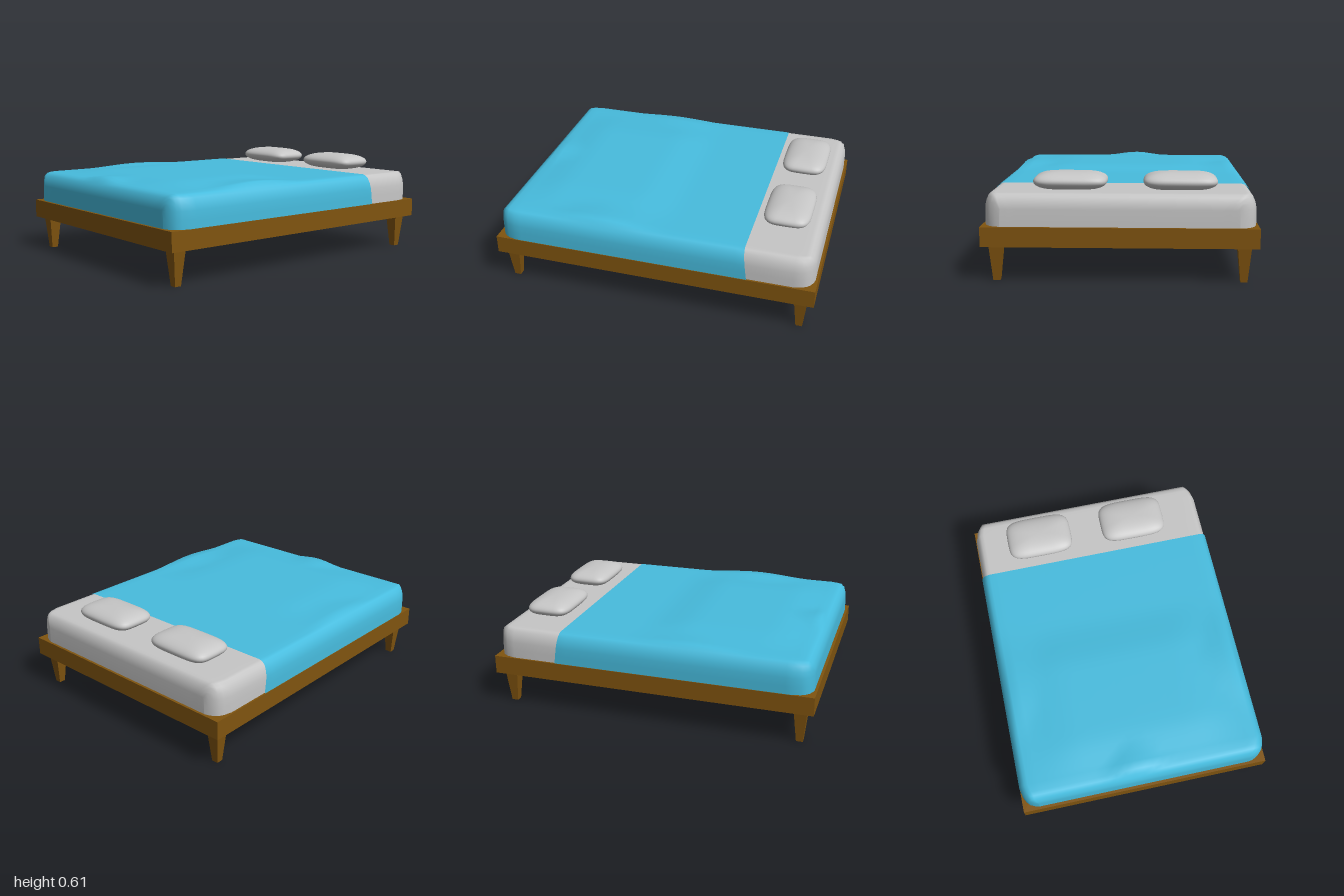
import * as THREE from 'three';
import { mergeVertices } from 'three/addons/utils/BufferGeometryUtils.js';

const mat = (name, color) => Object.assign(new THREE.MeshStandardMaterial({ color }), { name });
const BASE = 0.318;

// Loft cross-sections along z: each section is {z, w, h, slant} for the profile of a soft slab
function softSlab(sections, W, topY) {
  const side = [[0, BASE], [0, 0.37], [0.001, 0.42], [0.008, 0.455], [0.022, 0.487], [0.04, 0.503]];
  const profile = side.map(([i, y]) => [-(W - i), y]);
  const steps = 24, edge = W - 0.062;
  for (let k = 0; k <= steps; k++) profile.push([-edge + (2 * edge * k) / steps, null]);
  for (const [i, y] of [...side].reverse()) profile.push([W - i, y]);

  const pos = [], idx = [], n = profile.length;
  for (const { z, w, h, slant = 0 } of sections) {
    for (const [px, py] of profile) {
      const x = (px * w) / W;
      const y = Math.min(py === null ? topY(x, z) : py, h);
      pos.push(x, y, z - (slant * (0.51 - y)) / 0.19);
    }
  }
  for (let s = 0; s < sections.length - 1; s++) {
    for (let k = 0; k < n - 1; k++) {
      const a = s * n + k, b = a + 1, c = a + n, d = c + 1;
      idx.push(a, c, b, b, c, d);
    }
  }
  const g = new THREE.BufferGeometry();
  g.setAttribute('position', new THREE.Float32BufferAttribute(pos, 3));
  g.setIndex(idx);
  g.computeVertexNormals();
  return g;
}

// Rounded end: inset from the end, width loss, height limit
const END = [[0, 0.1, BASE], [0, 0.1, 0.42], [0.006, 0.075, 0.455], [0.02, 0.045, 0.487],
  [0.04, 0.026, 0.503], [0.065, 0.012, 1], [0.115, 0, 1]];
const endSections = (zEnd, dir, W) => END.map(([d, loss, h]) => ({ z: zEnd - dir * d, w: W - loss, h }));

const bump = (x, z, cx, cz, rx, rz) => {
  const r = Math.hypot((x - cx) / rx, (z - cz) / rz);
  return r < 1 ? 0.5 + 0.5 * Math.cos(Math.PI * r) : 0;
};

// Gentle folds of the blanket
function blanketTop(x, z) {
  const s = THREE.MathUtils.smoothstep;
  const swell = s(z, -0.12, 0.2) * (1 - s(z, 0.65, 0.95)) * (1 - s(Math.abs(x), 0.35, 0.74));
  const folds = Math.max(bump(x, z, 0.75, 0.33, 0.5, 0.42), 0.7 * bump(x, z, -0.75, 0.25, 0.5, 0.42),
    bump(x, z, -0.05, 0.93, 0.24, 0.5));
  return 0.51 + 0.024 * Math.max(swell, folds);
}

// Flattened sphere with a squarish outline
function pillowGeometry() {
  let g = new THREE.SphereGeometry(1, 40, 20);
  g.deleteAttribute('uv');
  g.deleteAttribute('normal');
  g = mergeVertices(g, 1e-4);
  const p = g.attributes.position;
  const pw = (v, e) => Math.sign(v) * Math.pow(Math.abs(v), e);
  for (let i = 0; i < p.count; i++) {
    const y = p.getY(i), r = Math.hypot(p.getX(i), p.getZ(i));
    const c = r > 1e-6 ? p.getX(i) / r : 0, s = r > 1e-6 ? p.getZ(i) / r : 0;
    p.setXYZ(i, 0.214 * pw(c, 0.45) * Math.pow(r, 0.6), 0.053 * y, 0.143 * pw(s, 0.45) * Math.pow(r, 0.85));
  }
  g.computeVertexNormals();
  return g;
}

export function createModel() {
  const wood = mat('wood', 0x80540f);
  const linen = mat('linen', 0xc6c6c6);
  const cloth = mat('blanketBlue', 0x47bcde);
  cloth.side = linen.side = THREE.DoubleSide;

  const model = new THREE.Group();
  model.name = 'bed';
  const add = (name, geo, material, x = 0, y = 0, z = 0) => {
    const m = new THREE.Mesh(geo, material);
    m.name = name;
    m.position.set(x, y, z);
    model.add(m);
    return m;
  };

  // Frame
  add('frame', new THREE.BoxGeometry(1.57, 0.114, 2), wood, 0, 0.263, 0);

  // Tapered square legs
  const leg = new THREE.CylinderGeometry(0.04 * Math.SQRT2, 0.02 * Math.SQRT2, 0.208, 4, 1).rotateY(Math.PI / 4).toNonIndexed();
  leg.computeVertexNormals();
  for (const x of [-1, 1]) for (const z of [-1, 1]) {
    add((z > 0 ? 'front' : 'back') + (x > 0 ? 'Left' : 'Right') + 'Leg', leg, wood, x * 0.705, 0.104, z * 0.918);
  }

  // Mattress head end, tucked under the blanket
  const MW = 0.774;
  const sheet = [...endSections(-0.985, -1, MW), { z: -0.7, w: MW, h: 1 }, { z: -0.5, w: MW, h: 1 }];
  add('mattress', softSlab(sheet, MW, () => 0.505), linen);

  // Blanket over the rest of the mattress
  const BW = 0.781;
  const cover = [{ z: -0.57, w: BW, h: 1, slant: 0.025 }];
  for (let i = 1; i <= 28; i++) cover.push({ z: -0.57 + (i * 1.4) / 28, w: BW, h: 1 });
  cover.push(...endSections(0.983, 1, BW).reverse());
  add('blanket', softSlab(cover, BW, blanketTop), cloth);

  // Pillows
  const pillow = pillowGeometry();
  add('rightPillow', pillow, linen, -0.345, 0.557, -0.757);
  add('leftPillow', pillow, linen, 0.29, 0.557, -0.757);

  return model;
}
